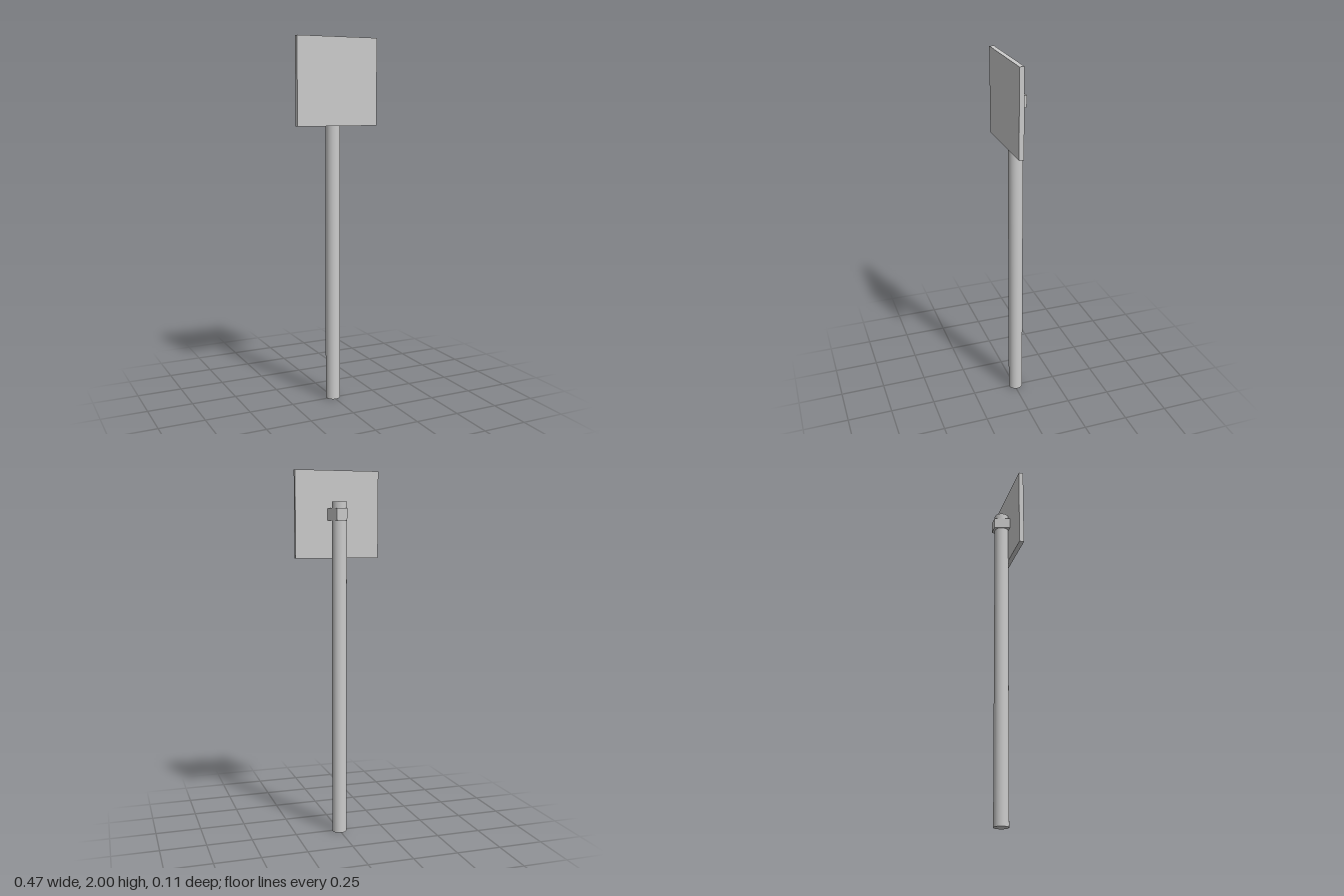
import * as THREE from 'three';

export function createModel() {
  const model = new THREE.Group();
  const material = new THREE.MeshStandardMaterial({ color: 0xcccccc });

  function addPart(name, geometry, x, y, z) {
    const mesh = new THREE.Mesh(geometry, material);
    mesh.name = name;
    mesh.position.set(x, y, z);
    model.add(mesh);
    return mesh;
  }

  // Round upright pole, just touching the back of the panel
  const poleHeight = 1.835;
  addPart('pole', new THREE.CylinderGeometry(0.04, 0.04, poleHeight, 48), 0, poleHeight / 2, -0.008);

  // Square sign panel
  addPart('signPanel', new THREE.BoxGeometry(0.466, 0.466, 0.026), 0, 1.767, 0.042);

  // Tapered clamp around the pole: wide against the panel, narrow at the back
  const outline = new THREE.Shape([
    new THREE.Vector2(-0.055, -0.029),
    new THREE.Vector2(0.055, -0.029),
    new THREE.Vector2(0.028, 0.058),
    new THREE.Vector2(-0.028, 0.058),
  ]);
  const clamp = new THREE.ExtrudeGeometry(outline, { depth: 0.064, bevelEnabled: false });
  clamp.rotateX(-Math.PI / 2); // outline y becomes -z, depth becomes height
  addPart('clamp', clamp, 0, 1.736, 0);

  return model;
}
